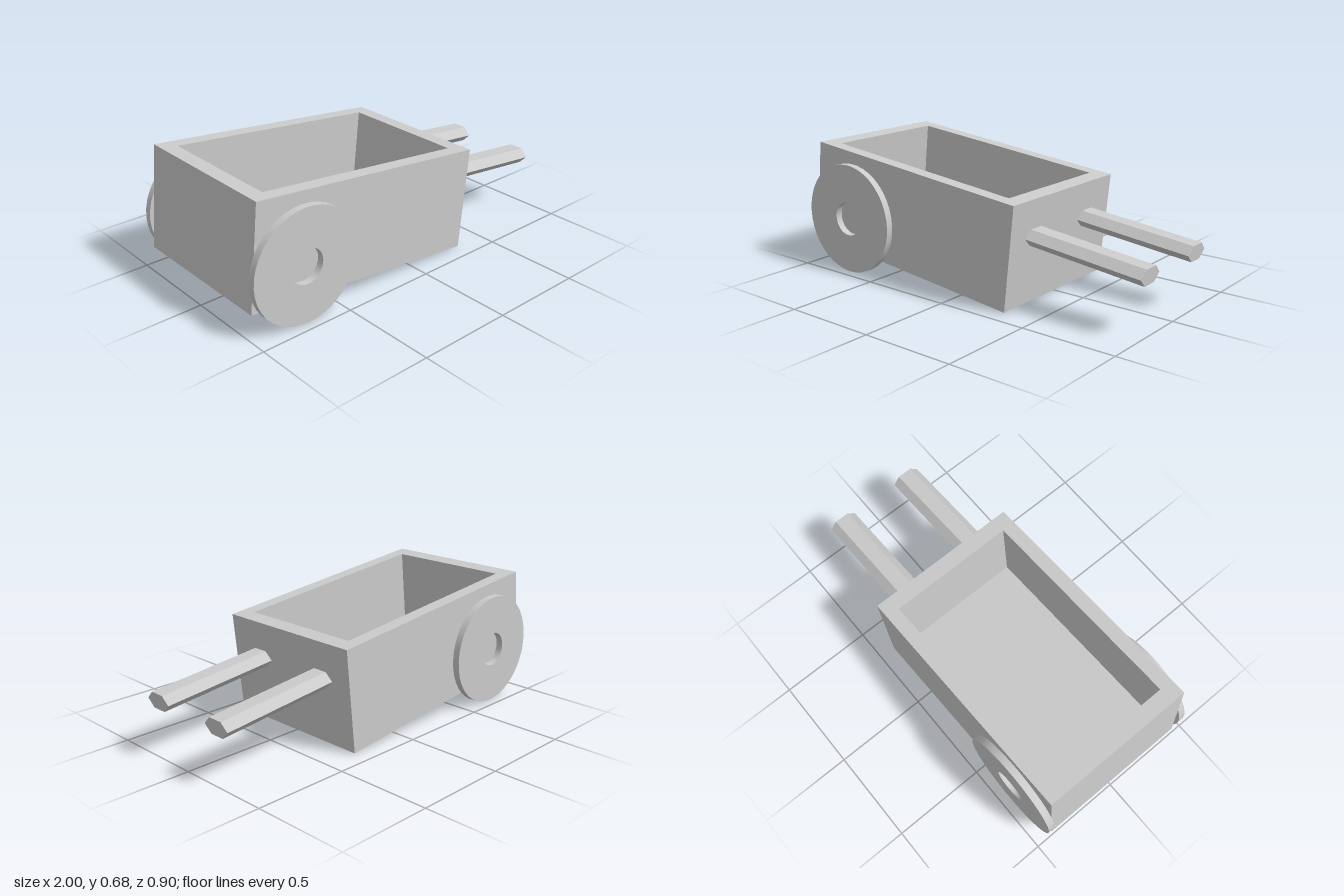
import * as THREE from 'three';
import { toCreasedNormals } from 'three/addons/utils/BufferGeometryUtils.js';

const LENGTH = 1.327, HEIGHT = 0.538, WIDTH = 0.826;
const END_WALL = 0.085, SIDE_WALL = 0.073, DEPTH = 0.4;
const TILT = -0.1035;

export function createModel() {
  const model = new THREE.Group();
  model.name = 'handcart';
  const material = new THREE.MeshStandardMaterial({ color: 0xcccccc });
  const flat = new THREE.MeshStandardMaterial({ color: 0xcccccc, flatShading: true });

  const add = (parent, name, geometry, mat, x, y, z) => {
    const mesh = new THREE.Mesh(geometry, mat);
    mesh.name = name;
    mesh.position.set(x, y, z);
    parent.add(mesh);
    return mesh;
  };

  // Tray and handles lean forward together
  const body = new THREE.Group();
  body.name = 'body';
  body.position.set(-0.3075, 0.342, 0);
  body.rotation.z = TILT;
  model.add(body);

  // Thick tray floor
  const floorHeight = HEIGHT - DEPTH;
  add(body, 'trayFloor', new THREE.BoxGeometry(LENGTH, floorHeight, WIDTH), flat,
    0, -HEIGHT / 2 + floorHeight / 2, 0);

  // Tray walls: a rectangular frame extruded upwards
  const corners = (l, w) => [[-l, -w], [l, -w], [l, w], [-l, w]].map(([x, y]) => new THREE.Vector2(x, y));
  const frame = new THREE.Shape(corners(LENGTH / 2, WIDTH / 2));
  frame.holes.push(new THREE.Path(corners(LENGTH / 2 - END_WALL, WIDTH / 2 - SIDE_WALL)));
  const walls = new THREE.ExtrudeGeometry(frame, { depth: DEPTH, bevelEnabled: false });
  walls.rotateX(-Math.PI / 2);
  add(body, 'trayWalls', walls, flat, 0, HEIGHT / 2 - DEPTH, 0);

  // Flattened six-sided handles, starting just inside the end wall
  const start = LENGTH / 2 - 0.02, tip = 1.3;
  const handle = new THREE.CylinderGeometry(1, 1, tip - start, 6);
  handle.rotateZ(-Math.PI / 2);
  handle.scale(1, 0.0475, 0.08);

  // Wheel discs with a round hub hole
  const disc = new THREE.Shape().absarc(0, 0, 0.2935, 0, Math.PI * 2);
  disc.holes.push(new THREE.Path().absarc(0, 0, 0.09, 0, Math.PI * 2, true));
  const wheel = toCreasedNormals(
    new THREE.ExtrudeGeometry(disc, { depth: 0.037, bevelEnabled: false, curveSegments: 20 }), 0.6);
  wheel.translate(0, 0, -0.0185);

  for (const [side, s] of [['front', 1], ['back', -1]]) {
    add(body, side + 'Handle', handle, flat, (start + tip) / 2, 0.077, s * 0.217);
    add(model, side + 'Wheel', wheel, material, -0.7065, 0.2955, s * (WIDTH / 2 + 0.0185));
  }
  return model;
}
